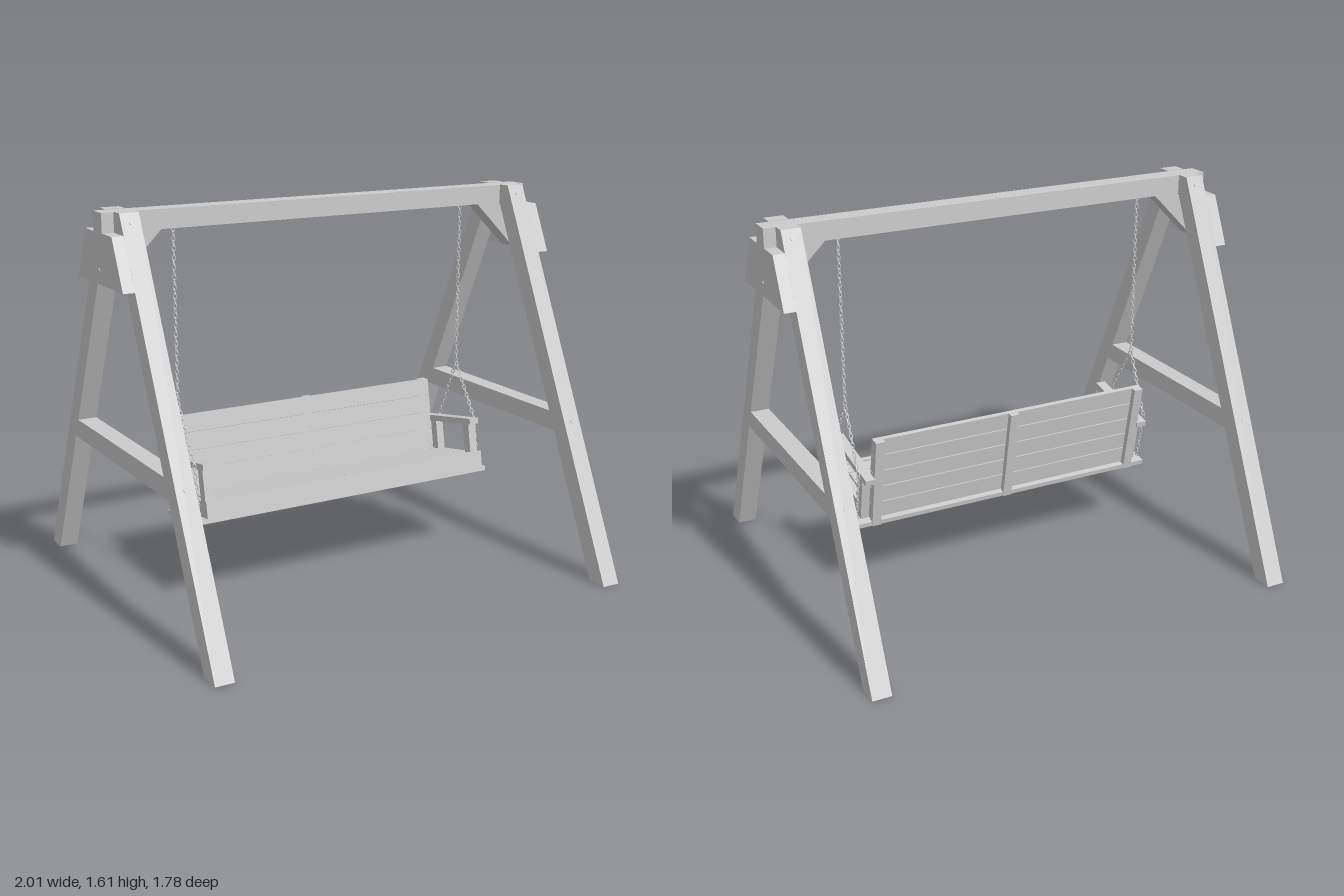
import * as THREE from 'three';
import { mergeGeometries } from 'three/addons/utils/BufferGeometryUtils.js';

const mat = new THREE.MeshStandardMaterial({ color: 0xcccccc, flatShading: true });

function add(parent, name, geo) {
  const m = new THREE.Mesh(geo, mat);
  m.name = name;
  parent.add(m);
  return m;
}

// Box given by its min/max on each axis
function box(parent, name, [x0, x1], [y0, y1], [z0, z1]) {
  const g = new THREE.BoxGeometry(x1 - x0, y1 - y0, z1 - z0);
  g.translate((x0 + x1) / 2, (y0 + y1) / 2, (z0 + z1) / 2);
  return add(parent, name, g);
}

// Board with an outline of points, centred on its thickness
function board(points, depth) {
  const shape = new THREE.Shape(points.map(p => new THREE.Vector2(...p)));
  return new THREE.ExtrudeGeometry(shape, { depth, bevelEnabled: false }).translate(0, 0, -depth / 2);
}

// Board outlined in (z, y), thickness along x
function sideBoard(parent, name, points, x, depth) {
  return add(parent, name, board(points, depth).rotateY(-Math.PI / 2).translate(x, 0, 0));
}

// Small round head facing along dir
function bolt(parent, name, pos, dir, r = 0.008, h = 0.006) {
  const m = add(parent, name, new THREE.CylinderGeometry(r, r, h, 10));
  m.position.set(...pos);
  m.quaternion.setFromUnitVectors(new THREE.Vector3(0, 1, 0), new THREE.Vector3(...dir).normalize());
}

// Links strung along a straight line, alternately turned by 90 degrees
function chainLinks(a, b) {
  const dir = b.clone().sub(a);
  const n = Math.round(dir.length() / 0.019);
  const q = new THREE.Quaternion().setFromUnitVectors(new THREE.Vector3(0, 1, 0), dir.clone().normalize());
  const links = [];
  for (let i = 0; i < n; i++) {
    const g = new THREE.TorusGeometry(0.0065, 0.0022, 5, 10);
    g.scale(1, 1.75, 1).rotateY(Math.PI / 4 + (i % 2) * Math.PI / 2).applyQuaternion(q);
    const p = a.clone().lerp(b, (i + 0.5) / n);
    links.push(g.translate(p.x, p.y, p.z));
  }
  return links;
}

function buildFrame(root) {
  const frame = new THREE.Group();
  frame.name = 'frame';
  root.add(frame);
  box(frame, 'topBeam', [-0.995, 0.995], [1.53, 1.608], [-0.043, 0.043]);

  const slope = 0.463, legX = 0.906;
  const outer = y => 0.845 - slope * y;
  const inner = y => 0.755 - slope * y;
  for (const s of [-1, 1]) {
    for (const f of [-1, 1]) {
      const leg = [[0.845, 0], [0.755, 0], [0.044, 1.535], [0.044, 1.61], [0.1, 1.61]];
      sideBoard(frame, f > 0 ? 'frontLeg' : 'backLeg', leg.map(([z, y]) => [z * f, y]), s * legX, 0.08);
      for (const y of [0.645, 1.575]) {
        bolt(frame, 'legBolt', [s * legX, y, f * outer(y)], [0, slope, f]);
      }
    }
    // Cross bar between the legs
    const lo = 0.595, hi = 0.675;
    sideBoard(frame, 'crossBar',
      [[-inner(lo), lo], [inner(lo), lo], [inner(hi), hi], [-inner(hi), hi]], s * legX, 0.08);
    // Outer plate under the beam end
    sideBoard(frame, 'gussetPlate',
      [[-outer(1.33), 1.33], [outer(1.33), 1.33], [outer(1.53), 1.53], [-outer(1.53), 1.53]], s * 0.97, 0.048);
    bolt(frame, 'gussetBolt', [s * 0.994, 1.385, 0], [s, 0, 0]);
    // Diagonal brace from plate to beam
    const brace = [[0.75, 1.53], [0.946, 1.334], [0.946, 1.447], [0.863, 1.53]];
    add(frame, 'diagonalBrace', board(brace.map(([x, y]) => [x * s, y]), 0.08));
  }
}

// Bench in its own axes: y up from the underside, z forward from the back
function buildBench(root) {
  const bench = new THREE.Group();
  bench.name = 'bench';
  bench.position.set(0, 0.31, -0.11);
  bench.rotation.x = -0.18;
  root.add(bench);

  // Bottom planks and seat slats
  for (let i = 0; i < 5; i++) {
    const z = i * 0.069;
    box(bench, 'bottomPlank', [-0.695, 0.695], [0, 0.02], [z, z + 0.066]);
  }
  for (let i = 0; i < 5; i++) {
    const z = 0.042 + i * 0.058;
    box(bench, 'seatSlat', [-0.625, 0.625], [0.068, 0.088], [z, z + 0.054]);
    for (const x of [-0.6, 0, 0.6]) bolt(bench, 'seatScrew', [x, 0.088, z + 0.027], [0, 1, 0], 0.004, 0.003);
  }
  box(bench, 'frontApron', [-0.672, 0.672], [0.02, 0.092], [0.332, 0.352]);

  // Backrest: planks on three uprights
  for (let i = 0; i < 5; i++) {
    const y = 0.024 + i * 0.0775;
    box(bench, 'backPlank', [-0.63, 0.63], [y, y + 0.074], [0.02, 0.04]);
    for (const x of [-0.61, 0, 0.61]) {
      for (const dy of [0.018, 0.056]) bolt(bench, 'backScrew', [x, y + dy, 0.04], [0, 0, 1], 0.004, 0.003);
    }
  }
  for (const x of [-0.61, 0, 0.61]) {
    box(bench, 'backUpright', [x - 0.02, x + 0.02], [0, 0.41], [-0.004, 0.02]);
  }

  // Arms: rail, two posts and armrest on each side
  for (const s of [-1, 1]) {
    const span = w => [s * 0.648 - w / 2, s * 0.648 + w / 2];
    box(bench, 'sideRail', span(0.036), [0.02, 0.085], [0.08, 0.29]);
    box(bench, 'frontArmPost', span(0.036), [0.02, 0.215], [0.29, 0.332]);
    box(bench, 'backArmPost', span(0.036), [0.02, 0.215], [0.036, 0.08]);
    box(bench, 'armrest', span(0.045), [0.215, 0.24], [-0.01, 0.352]);
  }
  bench.updateMatrix();
  return bench;
}

function buildChains(root, bench) {
  for (const s of [-1, 1]) {
    const x = s * 0.684;
    const onBench = (y, z) => new THREE.Vector3(x, y, z).applyMatrix4(bench.matrix);
    const joint = new THREE.Vector3(x, 0.82, 0);
    const links = chainLinks(new THREE.Vector3(x, 1.53, 0), joint);
    for (const z of [0.3, 0.035]) {
      links.push(...chainLinks(joint, onBench(0.24, z)), ...chainLinks(onBench(0.24, z), onBench(0.005, z)));
    }
    add(root, s > 0 ? 'leftChain' : 'rightChain', mergeGeometries(links));
  }
}

export function createModel() {
  const model = new THREE.Group();
  model.name = 'porchSwing';
  const root = new THREE.Group();
  root.name = 'swing';
  root.rotation.y = 0.046; // slight turn of the whole swing
  model.add(root);
  buildFrame(root);
  const bench = buildBench(root);
  buildChains(root, bench);
  return model;
}
